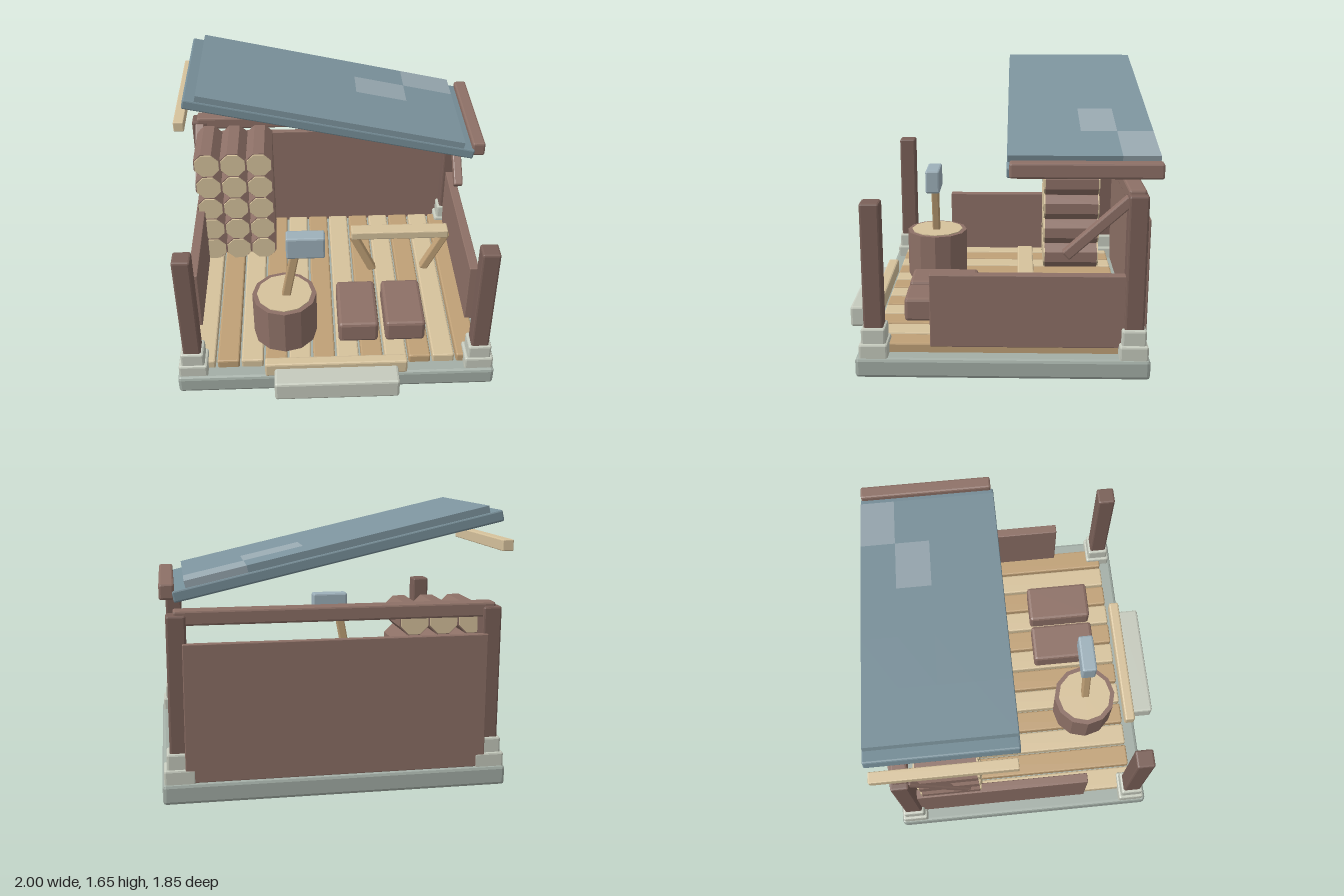
import * as THREE from 'three';
import { RoundedBoxGeometry } from 'three/addons/geometries/RoundedBoxGeometry.js';

const mat = (color) => new THREE.MeshStandardMaterial({ color, flatShading: true });
const M = {
  brown: mat(0x8d7066), post: mat(0x7a6058), beige: mat(0xd6c29c), tan: mat(0xbfa076),
  slate: mat(0x78909a), tile: mat(0x7d949e), paleTile: mat(0x98a8b0), steel: mat(0x9db0ba),
  base: mat(0xa3aea6), stone: mat(0xc5cabd),
};

export function createModel() {
  const model = new THREE.Group();

  const add = (name, geometry, material, x, y, z, parent = model) => {
    const mesh = new THREE.Mesh(geometry, material);
    mesh.name = name;
    mesh.position.set(x, y, z);
    parent.add(mesh);
    return mesh;
  };
  // Chamfered box given by its extents on each axis
  const box = (name, material, [x0, x1], [y0, y1], [z0, z1], bevel = 0.012) =>
    add(name, new RoundedBoxGeometry(x1 - x0, y1 - y0, z1 - z0, 1, bevel), material,
      (x0 + x1) / 2, (y0 + y1) / 2, (z0 + z1) / 2);
  // Chamfered bar running between two points
  const bar = (name, material, from, to, width, depth) => {
    const a = new THREE.Vector3(...from), b = new THREE.Vector3(...to);
    const mid = a.clone().add(b).multiplyScalar(0.5);
    const mesh = add(name, new RoundedBoxGeometry(width, a.distanceTo(b), depth, 1, 0.008),
      material, mid.x, mid.y, mid.z);
    mesh.quaternion.setFromUnitVectors(new THREE.Vector3(0, 1, 0), b.sub(a).normalize());
    return mesh;
  };
  const around = (c, size) => [c - size / 2, c + size / 2];

  // Foundation, front sill and step
  box('foundation', M.base, [-1, 1], [0, 0.12], [-0.89, 0.79], 0.02);
  box('frontSill', M.beige, [-0.45, 0.445], [0.12, 0.22], [0.72, 0.79]);
  box('frontStep', M.stone, [-0.39, 0.385], [0.05, 0.185], [0.77, 0.925], 0.015);

  // Floor planks in two wood tones
  for (let i = 0; i < 12; i++) {
    box('floorPlank', i % 2 ? M.tan : M.beige, around(-0.836 + i * 0.152, 0.138),
      [0.11, 0.175], [-0.8, 0.7], 0.01);
  }

  // Posts on stepped footings, low side walls and rear braces
  for (const s of [-1, 1]) {
    for (const [z, top] of [[0.685, 1.02], [-0.795, 1.07]]) {
      box('footingBase', M.stone, around(s * 0.9, 0.18), [0.1, 0.2], around(z, 0.165));
      box('footingTop', M.stone, around(s * 0.9, 0.145), [0.18, 0.29], around(z, 0.14));
      box('post', M.post, around(s * 0.9, 0.11), [0.25, top], around(z, 0.112));
    }
    box('sideWall', M.brown, around(s * 0.9, 0.06), [0.165, 0.6], [-0.76, 0.365], 0.005);
    bar('rearBrace', M.brown, [s * 0.9, 0.715, -0.4], [s * 0.9, 1.04, -0.755], 0.06, 0.06);
  }
  box('backWall', M.brown, [-0.87, 0.87], [0.12, 0.915], [-0.876, -0.835], 0.005);
  box('rearBeam', M.brown, [-0.92, 0.915], [1.01, 1.095], [-0.84, -0.74]);

  // Sloping roof: deck with tiles laid flush on it
  const roof = new THREE.Group();
  roof.name = 'roof';
  roof.position.set(0, 1.39, -0.4975);
  roof.rotation.z = -0.222;
  model.add(roof);
  add('roofDeck', new RoundedBoxGeometry(1.87, 0.065, 0.855, 1, 0.01), M.slate, 0, 0, 0, roof);
  const tile = new THREE.BoxGeometry(0.344, 0.04, 0.211);
  for (let i = 0; i < 5; i++) {
    for (let j = 0; j < 4; j++) {
      const pale = (i === 3 && j === 1) || (i === 4 && j === 0);
      add('roofTile', tile, pale ? M.paleTile : M.tile,
        -0.003 + (i - 2) * 0.344, 0.0515, (j - 1.5) * 0.211, roof);
    }
  }
  box('highEaveBeam', M.beige, [-0.98, -0.915], [1.395, 1.46], [-0.92, -0.085], 0.006);
  box('lowEaveBeam', M.brown, [0.903, 0.985], [1.17, 1.258], [-0.92, -0.085]);

  // Stacked logs: bark with slightly smaller pale cut ends
  const log = (radius, length) => new THREE.CylinderGeometry(radius, radius, length, 8)
    .rotateY(Math.PI / 8).rotateX(Math.PI / 2);
  const bark = log(0.095, 0.37), core = log(0.088, 0.39);
  for (let col = 0; col < 3; col++) {
    for (let row = 0; row < 5; row++) {
      const x = -0.83 + col * 0.176, y = 0.262 + row * 0.178;
      add('logBark', bark, M.brown, x, y, -0.515);
      add('logCutEnds', core, M.beige, x, y, -0.515);
    }
  }

  // Chopping stump with a mallet standing on it
  add('stump', new THREE.CylinderGeometry(0.205, 0.205, 0.315, 12), M.brown, -0.32, 0.3325, 0.425);
  add('stumpTop', new THREE.CylinderGeometry(0.175, 0.175, 0.02, 12), M.beige, -0.32, 0.486, 0.425);
  bar('malletHandle', M.tan, [-0.31, 0.48, 0.43], [-0.235, 0.88, 0.43], 0.055, 0.05);
  box('malletHead', M.steel, [-0.3, -0.06], [0.81, 0.965], [0.383, 0.477]);

  // Two crates on the floor
  for (const x of [0.15, 0.452]) {
    box('crate', M.brown, around(x, 0.256), [0.17, 0.32], [0.125, 0.555], 0.02);
  }

  // Sawhorse with legs leaning inward to the floor
  box('sawhorseTop', M.beige, [0.14, 0.81], [0.46, 0.52], [-0.23, -0.135], 0.008);
  for (const s of [-1, 1]) {
    bar('sawhorseLeg', M.tan, [0.475 + s * 0.325, 0.48, -0.18], [0.475 + s * 0.18, 0.17, -0.18],
      0.055, 0.06);
  }
  return model;
}
